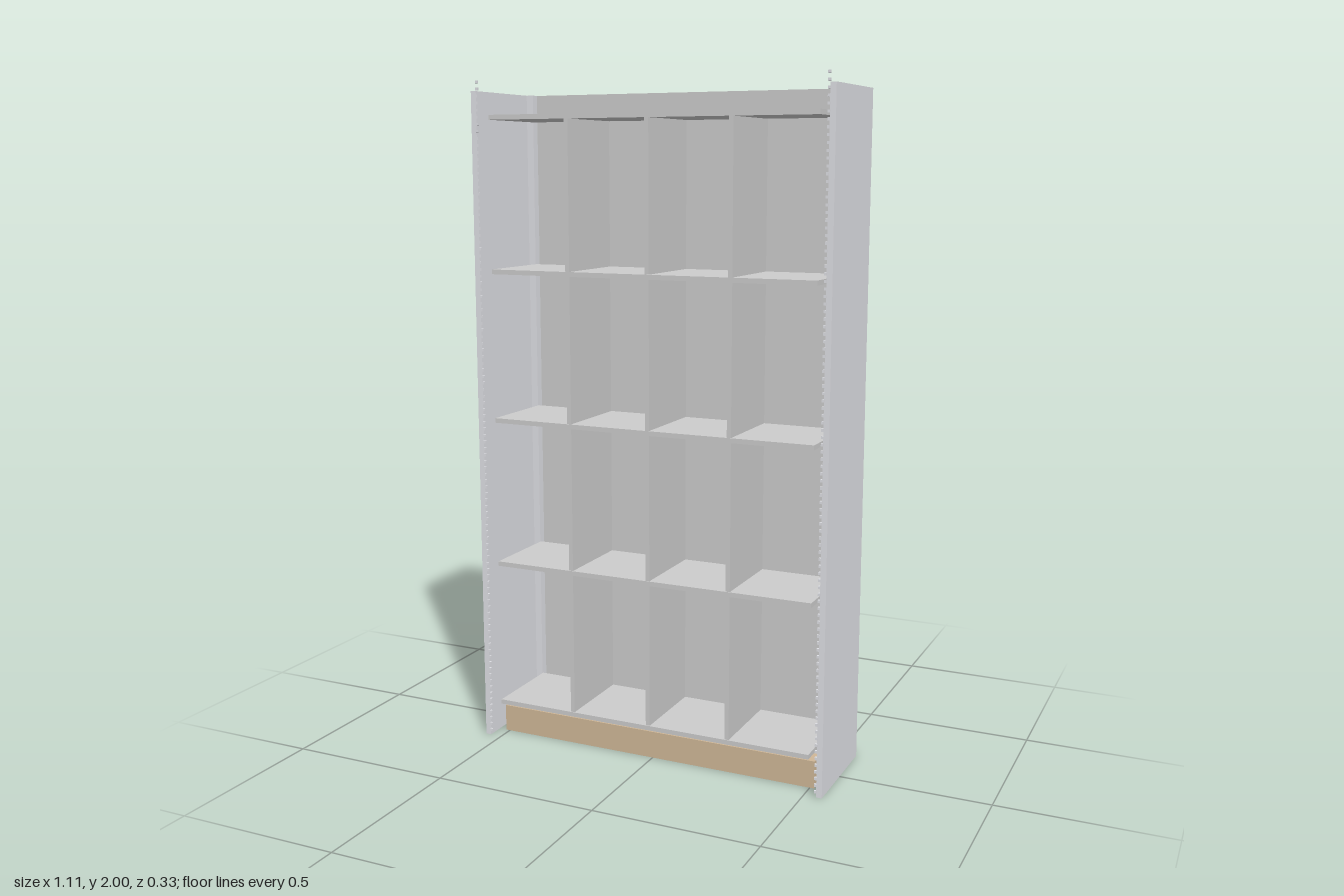
import * as THREE from 'three';

const grey = new THREE.MeshStandardMaterial({ color: 0xcccccc });
const metal = new THREE.MeshStandardMaterial({ color: 0xdedfe4 });
const wood = new THREE.MeshStandardMaterial({ color: 0xcfb797 });

// Box given by its extents on each axis
function slab(parent, name, material, [x0, x1], [y0, y1], [z0, z1]) {
  const mesh = new THREE.Mesh(new THREE.BoxGeometry(x1 - x0, y1 - y0, z1 - z0), material);
  mesh.position.set((x0 + x1) / 2, (y0 + y1) / 2, (z0 + z1) / 2);
  mesh.name = name;
  parent.add(mesh);
  return mesh;
}

export function createModel() {
  const model = new THREE.Group();
  model.name = 'shelvingUnit';
  const height = 1.97;

  // Plinth and back panel
  slab(model, 'plinth', wood, [-0.513, 0.513], [0, 0.082], [-0.153, 0.108]);
  slab(model, 'backPanel', grey, [-0.515, 0.515], [0.088, height], [-0.16, -0.153]);

  // Side frames: panel, rear post and a row of small fixing pins at the front
  for (const side of [-1, 1]) {
    const frame = new THREE.Group();
    frame.name = side > 0 ? 'leftFrame' : 'rightFrame';
    const span = (a, b) => (side > 0 ? [a, b] : [-b, -a]);
    slab(frame, 'sidePanel', metal, span(0.537, 0.554), [0, height], [-0.163, 0.161]);
    slab(frame, 'rearPost', metal, span(0.515, 0.537), [0, height], [-0.163, -0.128]);

    const pins = new THREE.Group();
    pins.name = 'fixingPins';
    for (let i = 0; i < 100; i++) {
      const y = 0.012 + i * 0.02;
      slab(pins, 'pin', metal, span(0.531, 0.538), [y, y + 0.008], [0.156, 0.163]);
    }
    frame.add(pins);
    model.add(frame);
  }

  // Shelves with upright dividers between them
  const bottom = 0.101, pitch = 0.447, thick = 0.014;
  for (let i = 0; i < 5; i++) {
    const y = bottom + i * pitch;
    slab(model, 'shelf', grey, [-0.506, 0.506], [y, y + thick], [-0.117, 0.144]);
    if (i === 4) continue;
    for (const x of [-0.254, 0, 0.254]) {
      slab(model, 'divider', grey, [x - 0.0065, x + 0.0065], [y + thick, y + pitch], [-0.117, 0.141]);
    }
  }
  return model;
}
